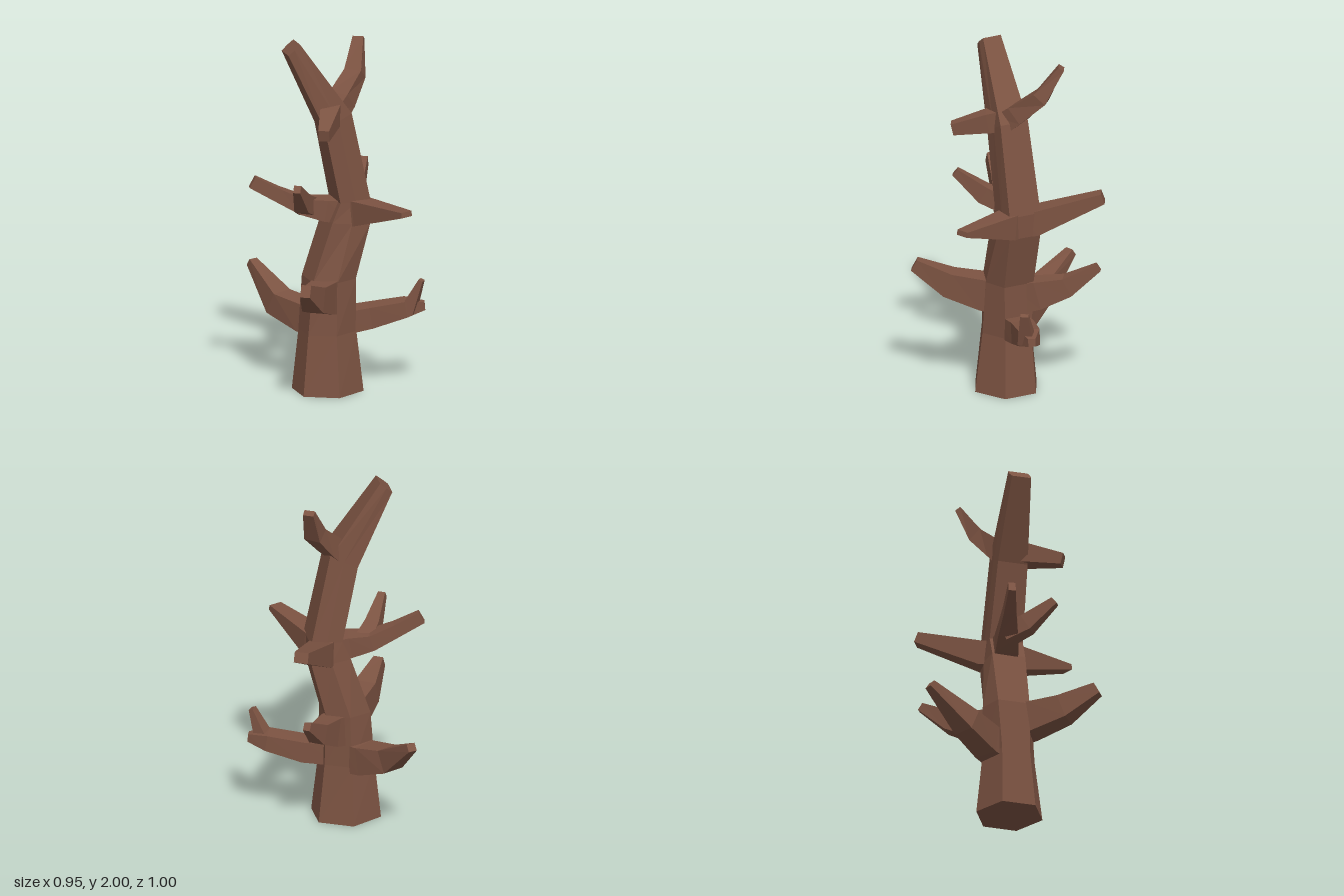
import * as THREE from 'three';

const bark = new THREE.MeshStandardMaterial({ color: 0x7c5342, flatShading: true });

// Skin a list of equal-sized rings (counter-clockwise about the travel direction), capped at both ends
function loft(name, rings) {
  const pos = [];
  const tri = (...pts) => pts.forEach((p) => pos.push(p.x, p.y, p.z));
  const n = rings[0].length;
  for (let r = 0; r < rings.length - 1; r++) {
    const a = rings[r], b = rings[r + 1];
    for (let i = 0; i < n; i++) {
      const j = (i + 1) % n;
      tri(a[i], a[j], b[j]);
      tri(a[i], b[j], b[i]);
    }
  }
  const first = rings[0], last = rings[rings.length - 1];
  for (let i = 1; i < n - 1; i++) {
    tri(first[0], first[i + 1], first[i]);
    tri(last[0], last[i], last[i + 1]);
  }
  const geo = new THREE.BufferGeometry();
  geo.setAttribute('position', new THREE.Float32BufferAttribute(pos, 3));
  geo.computeVertexNormals();
  const mesh = new THREE.Mesh(geo, bark);
  mesh.name = name;
  return mesh;
}

// Four-sided tapering branch; stations are [x, y, z, width, height]
function branch(name, stations) {
  const up = new THREE.Vector3(0, 1, 0);
  const pts = stations.map((s) => new THREE.Vector3(s[0], s[1], s[2]));
  const rings = stations.map(([, , , w, h], i) => {
    const dir = new THREE.Vector3();
    if (i > 0) dir.add(pts[i].clone().sub(pts[i - 1]).normalize());
    if (i < pts.length - 1) dir.add(pts[i + 1].clone().sub(pts[i]).normalize());
    dir.normalize();
    const side = up.clone().cross(dir).normalize();
    const top = dir.clone().cross(side);
    return [[1, 1], [-1, 1], [-1, -1], [1, -1]].map(([u, v]) =>
      pts[i].clone().addScaledVector(side, (u * w) / 2).addScaledVector(top, (v * h) / 2));
  });
  return loft(name, rings);
}

// Six-sided trunk; stations are [x, y, z, half width, half depth of the flats, reach of the ridges, tilt]
function trunk(stations) {
  return loft('trunk', stations.map(([x, y, z, rx, flat, ridge, tilt]) =>
    [[0, ridge], [rx, flat], [rx, -flat], [0, -ridge], [-rx, -flat], [-rx, flat]].map(([dx, dz]) =>
      new THREE.Vector3(x + dx, y + dx * tilt, z + dz))));
}

export function createModel() {
  const tree = new THREE.Group();
  tree.name = 'bareTree';

  tree.add(trunk([
    [-0.065, 0, 0.05, 0.175, 0.095, 0.19, 0],
    [-0.065, 0.34, 0.045, 0.14, 0.08, 0.15, 0],
    [-0.055, 0.64, 0.04, 0.125, 0.09, 0.14, 0],
    [0.04, 0.96, 0.045, 0.11, 0.095, 0.11, -0.1],
    [0.065, 1.08, 0.045, 0.088, 0.095, 0.1, 0],
    [-0.035, 1.55, 0.055, 0.078, 0.085, 0.087, 0.5],
    [-0.277, 1.97, 0.043, 0.034, 0.055, 0.062, 0.85],
  ]));

  const limbs = {
    // lowest left branch and its fork
    lowerLeftBranch: [[-0.03, 0.38, 0.05, 0.14, 0.13], [0.17, 0.405, 0.07, 0.13, 0.12],
      [0.36, 0.45, 0.13, 0.12, 0.09], [0.46, 0.46, 0.165, 0.04, 0.045]],
    lowerLeftTwig: [[0.37, 0.44, 0.15, 0.09, 0.08], [0.43, 0.615, 0.195, 0.045, 0.025]],
    // lower branches
    lowerBackRightBranch: [[-0.07, 0.38, 0.0, 0.15, 0.17], [-0.14, 0.39, -0.1, 0.14, 0.16],
      [-0.245, 0.44, -0.25, 0.13, 0.13], [-0.315, 0.61, -0.485, 0.05, 0.045]],
    lowerFrontRightBranch: [[-0.06, 0.55, 0.06, 0.17, 0.2], [-0.13, 0.56, 0.16, 0.14, 0.18],
      [-0.24, 0.6, 0.31, 0.12, 0.14], [-0.345, 0.7, 0.47, 0.055, 0.07]],
    lowerBackLeftBranch: [[-0.03, 0.54, 0.01, 0.14, 0.18], [0.06, 0.57, -0.09, 0.12, 0.16],
      [0.15, 0.62, -0.22, 0.09, 0.11], [0.245, 0.735, -0.36, 0.04, 0.045]],
    // middle branches
    middleFrontLeftBranch: [[0.05, 1.01, 0.04, 0.14, 0.15], [0.1, 1.02, 0.13, 0.13, 0.14],
      [0.24, 1.085, 0.48, 0.075, 0.03]],
    middleBackLeftBranch: [[0.05, 1.01, 0.04, 0.14, 0.15], [0.1, 1.02, -0.05, 0.13, 0.14],
      [0.28, 1.16, -0.37, 0.08, 0.06]],
    middleRightBranch: [[0.06, 1.01, 0.04, 0.14, 0.13], [-0.08, 1.03, 0.03, 0.13, 0.12],
      [-0.2, 1.055, 0.0, 0.11, 0.09], [-0.33, 1.12, -0.03, 0.07, 0.075],
      [-0.465, 1.195, -0.06, 0.04, 0.07]],
    middleRightTwig: [[-0.16, 1.04, 0.0, 0.1, 0.1], [-0.23, 1.09, 0.1, 0.08, 0.1],
      [-0.31, 1.215, 0.235, 0.04, 0.045]],
    // upper branches
    upperFrontBranch: [[-0.04, 1.59, 0.06, 0.11, 0.13], [-0.09, 1.575, 0.15, 0.1, 0.11],
      [-0.185, 1.53, 0.32, 0.06, 0.065]],
    upperBackBranch: [[-0.04, 1.57, 0.06, 0.13, 0.12], [0.03, 1.64, 0.02, 0.12, 0.11],
      [0.135, 1.755, -0.065, 0.1, 0.085], [0.19, 1.93, -0.16, 0.06, 0.035]],
  };
  for (const [name, stations] of Object.entries(limbs)) tree.add(branch(name, stations));

  return tree;
}
